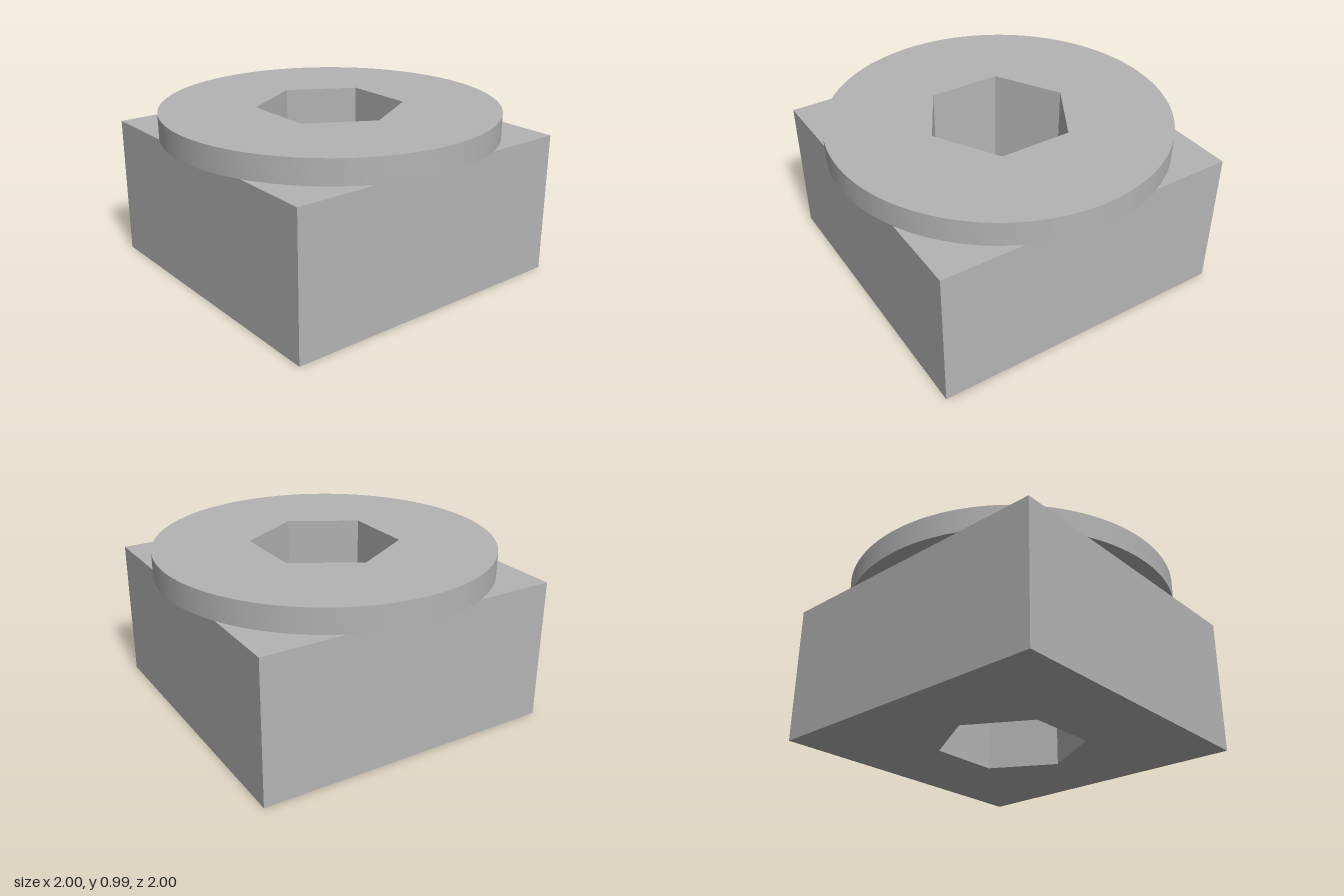
import * as THREE from 'three';
import { toCreasedNormals } from 'three/addons/utils/BufferGeometryUtils.js';

const HALF = 0.907;        // half width of the square block
const BLOCK_TOP = 0.84;
const DISC_TOP = 0.985;
const HEX_RADIUS = 0.437;  // corner radius of the through hole

// Hexagonal hole with corners pointing to front and back
function hexHole() {
  const points = [];
  for (let i = 0; i < 6; i++) {
    const a = Math.PI / 2 + (i * Math.PI) / 3;
    points.push(new THREE.Vector2(HEX_RADIUS * Math.cos(a), HEX_RADIUS * Math.sin(a)));
  }
  return new THREE.Path(points);
}

// Upright plate of the given outline, pierced by the hexagonal hole
function piercedPlate(name, shape, bottom, top, material) {
  shape.holes.push(hexHole());
  const extruded = new THREE.ExtrudeGeometry(shape, {
    depth: top - bottom, bevelEnabled: false, curveSegments: 96,
  });
  extruded.rotateX(-Math.PI / 2);
  extruded.translate(0, bottom, 0);
  const mesh = new THREE.Mesh(toCreasedNormals(extruded, Math.PI / 6), material);
  mesh.name = name;
  return mesh;
}

export function createModel() {
  const grey = new THREE.MeshStandardMaterial({ color: 0xb4b4b4 });
  grey.name = 'grey';

  // Square block
  const square = new THREE.Shape([
    new THREE.Vector2(-HALF, -HALF), new THREE.Vector2(HALF, -HALF),
    new THREE.Vector2(HALF, HALF), new THREE.Vector2(-HALF, HALF),
  ]);

  // Round flange that overhangs the block's sides
  const circle = new THREE.Shape().absarc(0, 0, 1, 0, Math.PI * 2, false);

  const model = new THREE.Group();
  model.name = 'flangedBlock';
  model.add(
    piercedPlate('block', square, 0, BLOCK_TOP, grey),
    piercedPlate('flange', circle, BLOCK_TOP, DISC_TOP, grey),
  );
  return model;
}
